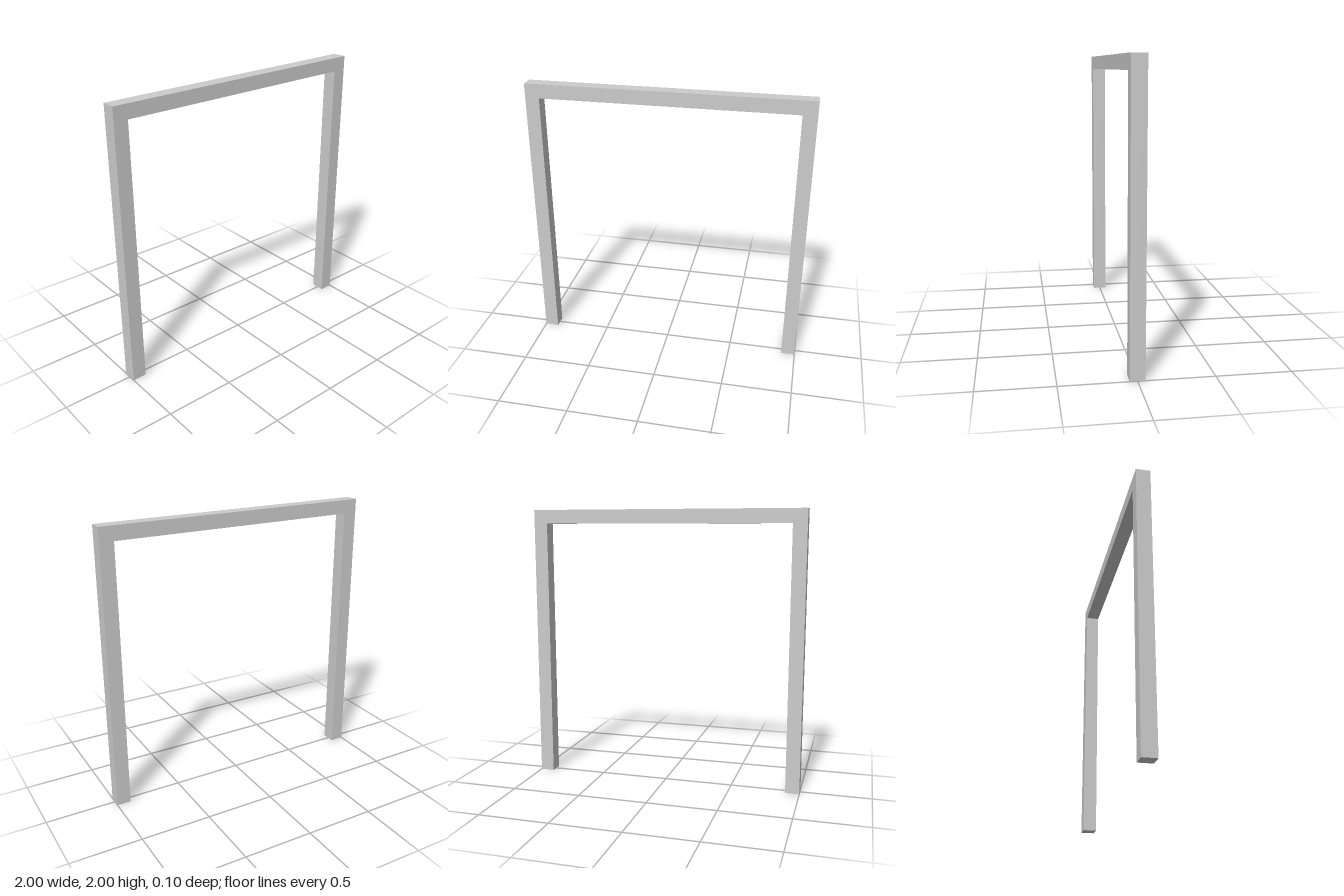
import * as THREE from 'three';

export function createModel() {
  const half = 1, height = 2, bar = 0.1;
  const inner = half - bar, under = height - bar;

  // Outline of two posts joined by a top beam, as one seamless piece
  const outline = new THREE.Shape([
    [-half, 0], [-inner, 0], [-inner, under], [inner, under],
    [inner, 0], [half, 0], [half, height], [-half, height],
  ].map(([x, y]) => new THREE.Vector2(x, y)));

  // Square-section bar, centred front to back
  const geometry = new THREE.ExtrudeGeometry(outline, { depth: bar, bevelEnabled: false });
  geometry.translate(0, 0, -bar / 2);

  const frame = new THREE.Mesh(geometry, new THREE.MeshStandardMaterial({ color: 0xcccccc }));
  frame.name = 'frame';

  const model = new THREE.Group();
  model.name = 'archFrame';
  model.add(frame);
  return model;
}
